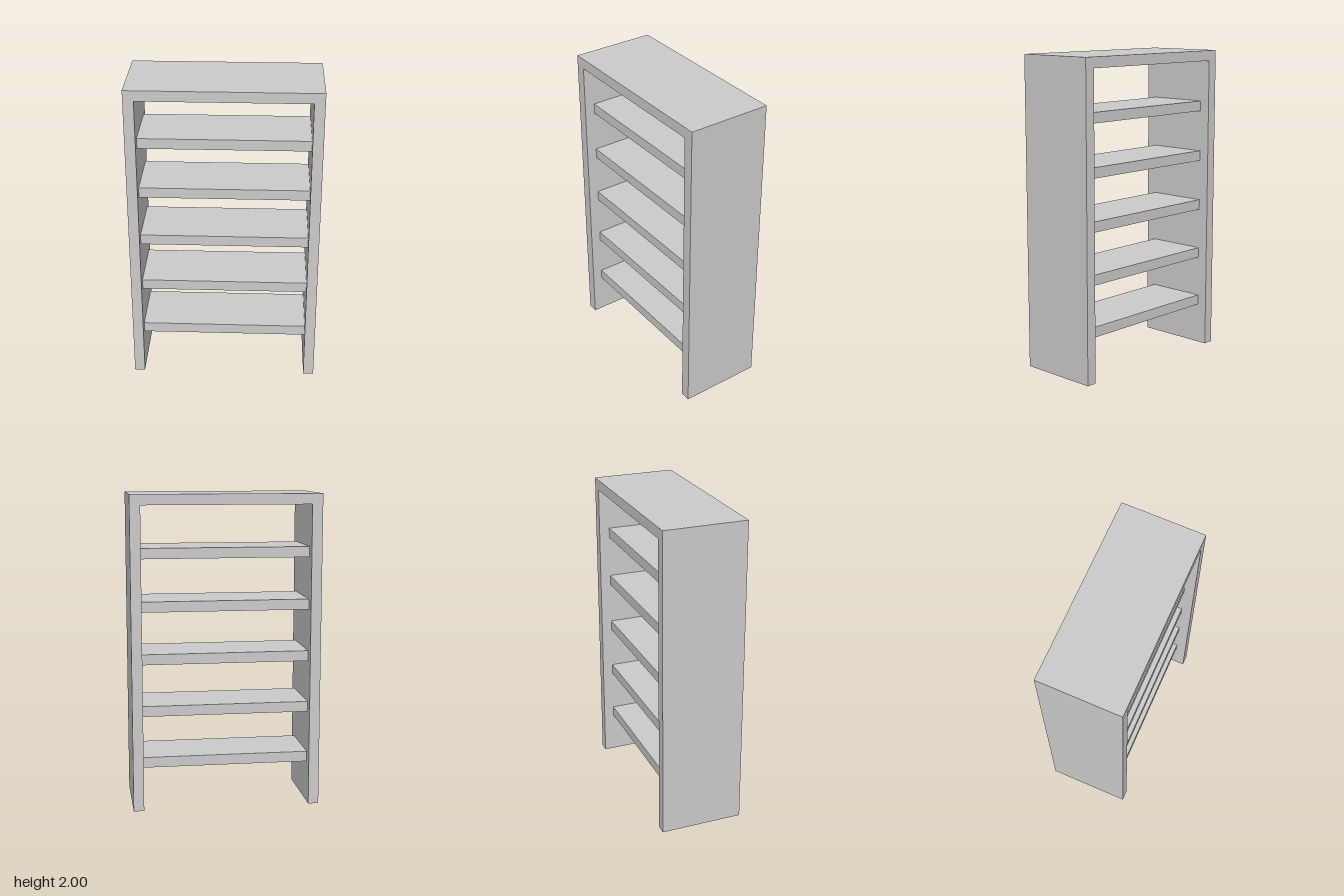
import * as THREE from 'three';

const WIDTH = 1.2, HEIGHT = 2, DEPTH = 1.6 / 3;
const BOARD = 0.2 / 3; // thickness of every board
const SHELVES = 5;

export function createModel() {
  const model = new THREE.Group();
  model.name = 'bookcase';
  const material = new THREE.MeshStandardMaterial({ color: 0xcccccc });

  // Frame: two sides and the top as one upside-down U, open at front and back
  const outer = WIDTH / 2, inner = outer - BOARD;
  const outline = new THREE.Shape([
    [-outer, 0], [-inner, 0], [-inner, HEIGHT - BOARD], [inner, HEIGHT - BOARD],
    [inner, 0], [outer, 0], [outer, HEIGHT], [-outer, HEIGHT],
  ].map(([x, y]) => new THREE.Vector2(x, y)));
  const frameGeometry = new THREE.ExtrudeGeometry(outline, { depth: DEPTH, bevelEnabled: false });
  frameGeometry.translate(0, 0, -DEPTH / 2);
  const frame = new THREE.Mesh(frameGeometry, material);
  frame.name = 'frame';
  model.add(frame);

  // Shelves: evenly spaced, set back one board thickness at front and back
  const shelfGeometry = new THREE.BoxGeometry(inner * 2, BOARD, DEPTH - 2 * BOARD);
  for (let i = 1; i <= SHELVES; i++) {
    const shelf = new THREE.Mesh(shelfGeometry, material);
    shelf.name = `shelf${i}`;
    shelf.position.y = (HEIGHT * i) / (SHELVES + 1) - BOARD / 2;
    model.add(shelf);
  }

  return model;
}
